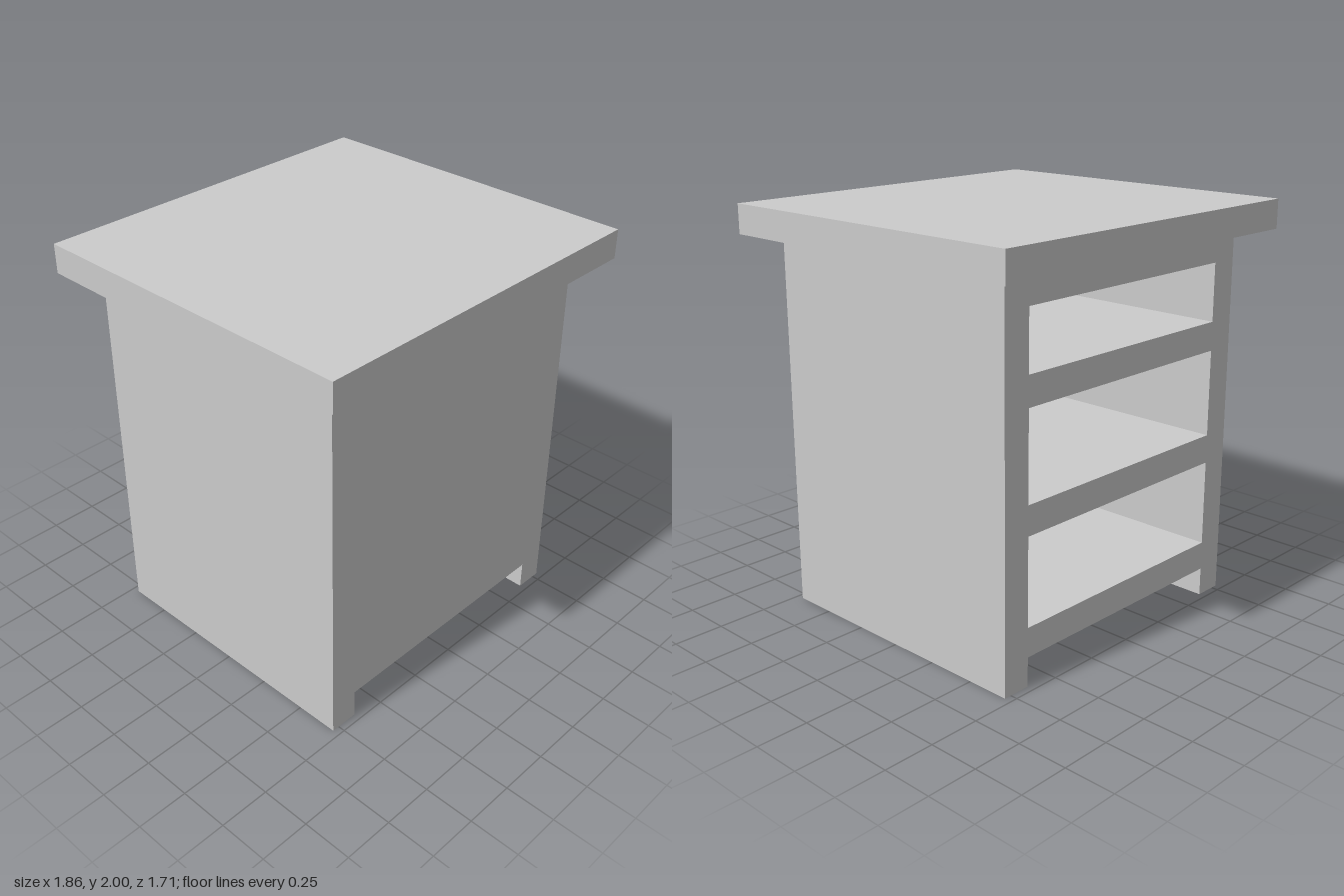
import * as THREE from 'three';

// Every dimension is a multiple of one board thickness.
const U = 1 / 7;

export function createModel() {
  const group = new THREE.Group();
  const material = new THREE.MeshStandardMaterial({ color: 0xcccccc, flatShading: true });

  const add = (name, geometry, x = 0, y = 0, z = 0) => {
    const mesh = new THREE.Mesh(geometry, material);
    mesh.name = name;
    mesh.position.set(x, y, z);
    group.add(mesh);
  };

  const outline = (ShapeClass, points) =>
    new ShapeClass(points.map(([x, y]) => new THREE.Vector2(x * U, y * U)));

  // Body outline with a side runner at each end of the raised floor
  const bodyShape = () => outline(THREE.Shape, [
    [-5.5, 0], [-4.5, 0], [-4.5, 1], [4.5, 1], [4.5, 0], [5.5, 0], [5.5, 13], [-5.5, 13],
  ]);

  // Carcass with three compartments open at the back
  const carcass = bodyShape();
  for (const [bottom, top] of [[2, 5], [6, 9], [10, 12]]) {
    carcass.holes.push(outline(THREE.Path, [
      [-4.5, bottom], [-4.5, top], [4.5, top], [4.5, bottom],
    ]));
  }
  add('carcass', new THREE.ExtrudeGeometry(carcass, { depth: 9 * U, bevelEnabled: false }), 0, 0, -5 * U);

  // Solid panel closing the front
  add('frontPanel', new THREE.ExtrudeGeometry(bodyShape(), { depth: U, bevelEnabled: false }), 0, 0, 4 * U);

  // Overhanging top
  add('tableTop', new THREE.BoxGeometry(13 * U, U, 12 * U), 0, 13.5 * U, 0);

  return group;
}
